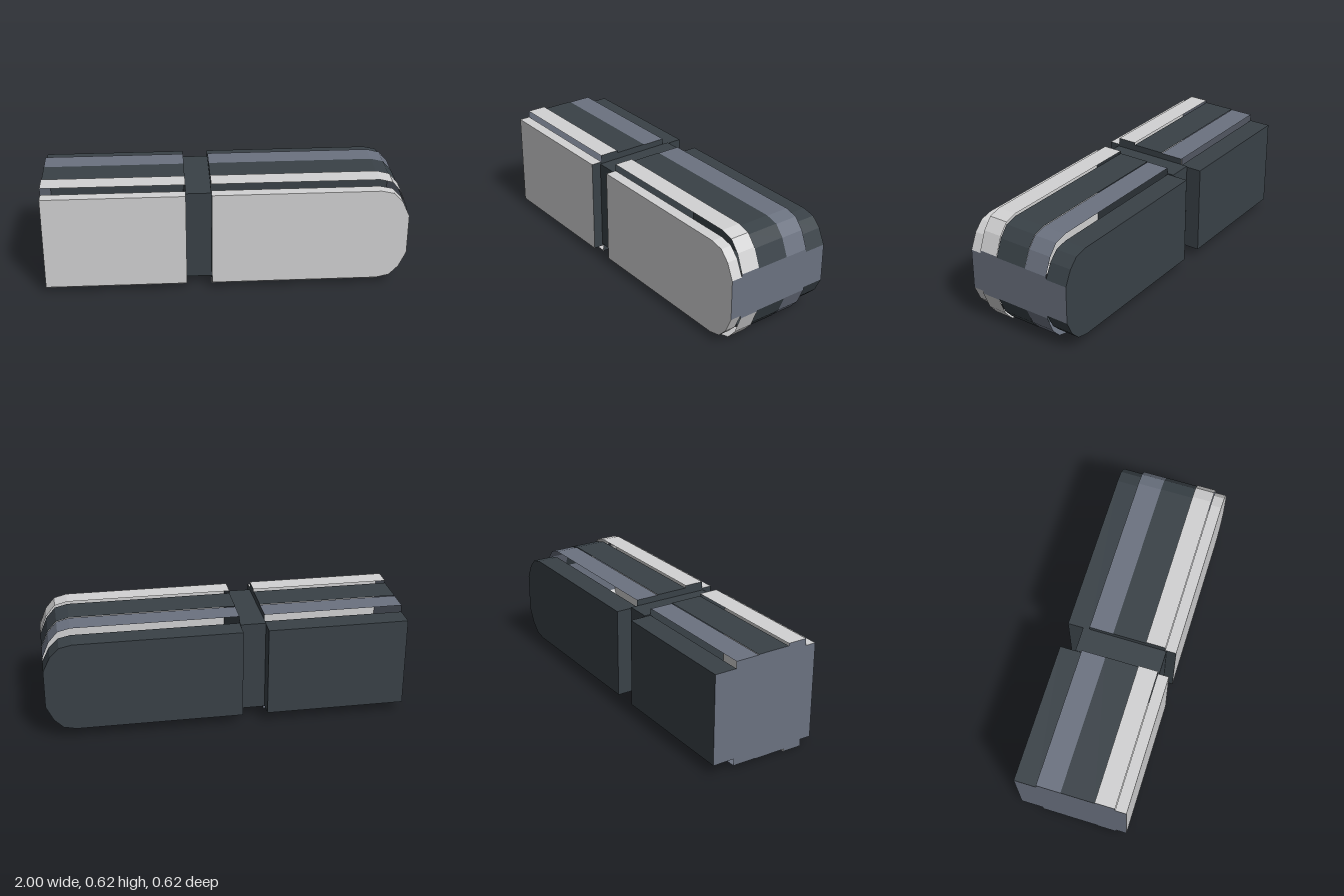
import * as THREE from 'three';

const MID = 0.309; // height of the long axis

function material(name, color) {
  const m = new THREE.MeshStandardMaterial({ color, side: THREE.DoubleSide });
  m.name = name;
  return m;
}

// Outlines in x and y, counter-clockwise, for half height h
const squareOutline = h => [[-1, -h], [-0.22, -h], [-0.22, h], [-1, h]];
function roundedOutline(h) {
  const corner = [[0.84, 1], [0.91, 0.94], [0.96, 0.745], [1, 0.42]];
  const lower = corner.map(([x, k]) => [x, -k * h]);
  const upper = corner.map(([x, k]) => [x, k * h]).reverse();
  return [[-0.08, -h], ...lower, ...upper, [-0.08, h]];
}

// Open wall made from the chosen edges of an outline
function wall(points, z0, z1, keep) {
  const pos = [];
  points.forEach((a, i) => {
    const b = points[(i + 1) % points.length];
    if (!keep(a, b)) return;
    const [ax, ay] = a, [bx, by] = b;
    pos.push(ax, ay, z0, bx, by, z0, bx, by, z1);
    pos.push(ax, ay, z0, bx, by, z1, ax, ay, z1);
  });
  const g = new THREE.BufferGeometry();
  g.setAttribute('position', new THREE.Float32BufferAttribute(pos, 3));
  g.computeVertexNormals();
  return g;
}

// Flat plate closing an outline, facing front or back
function plate(points, z, facesBack) {
  const g = new THREE.ShapeGeometry(new THREE.Shape(points.map(p => new THREE.Vector2(...p))));
  g.translate(0, 0, z);
  if (facesBack) {
    g.index.array.reverse();
    g.computeVertexNormals();
  }
  return g;
}

export function createModel() {
  const group = new THREE.Group();
  const light = material('light grey', 0xd2d2d3);
  const slate = material('slate', 0x6b7280);
  const dark = material('charcoal', 0x394147);

  function add(name, geometry, mat) {
    const mesh = new THREE.Mesh(geometry, mat);
    mesh.name = name;
    mesh.position.y = MID;
    group.add(mesh);
    return mesh;
  }

  const upright = (a, b) => a[0] === b[0];
  const outerEnd = (a, b) => upright(a, b) && Math.abs(a[0]) === 1;
  const innerEnd = (a, b) => upright(a, b) && Math.abs(a[0]) !== 1;

  // Layers from front to back: name, z range, half height, colour
  const layers = [
    ['frontPanel', 0.247, 0.309, 0.27, light],
    ['frontStrip', 0.137, 0.247, 0.309, light],
    ['centreStrip', -0.049, 0.137, 0.295, dark],
    ['rearStrip', -0.184, -0.049, 0.292, slate],
    ['backPanel', -0.309, -0.184, 0.253, dark],
  ];
  for (const [name, z0, z1, h, mat] of layers) {
    // Square cap half and rounded body half, with a gap for the band
    for (const [half, outline] of [['Square', squareOutline(h)], ['Rounded', roundedOutline(h)]]) {
      add(name + half, wall(outline, z0, z1, (a, b) => !upright(a, b)), mat);
      add(name + half + 'End', wall(outline, z0, z1, outerEnd), slate);
      add(name + half + 'InnerEnd', wall(outline, z0, z1, innerEnd), dark);
      if (name === 'frontPanel') add(name + half + 'Face', plate(outline, z1, false), mat);
      if (name === 'backPanel') add(name + half + 'Face', plate(outline, z0, true), mat);
    }
  }

  // Band joining the two halves
  add('joiningBand', new THREE.BoxGeometry(0.14, 0.517, 0.475), dark).position.set(-0.15, MID, 0.0165);

  return group;
}
